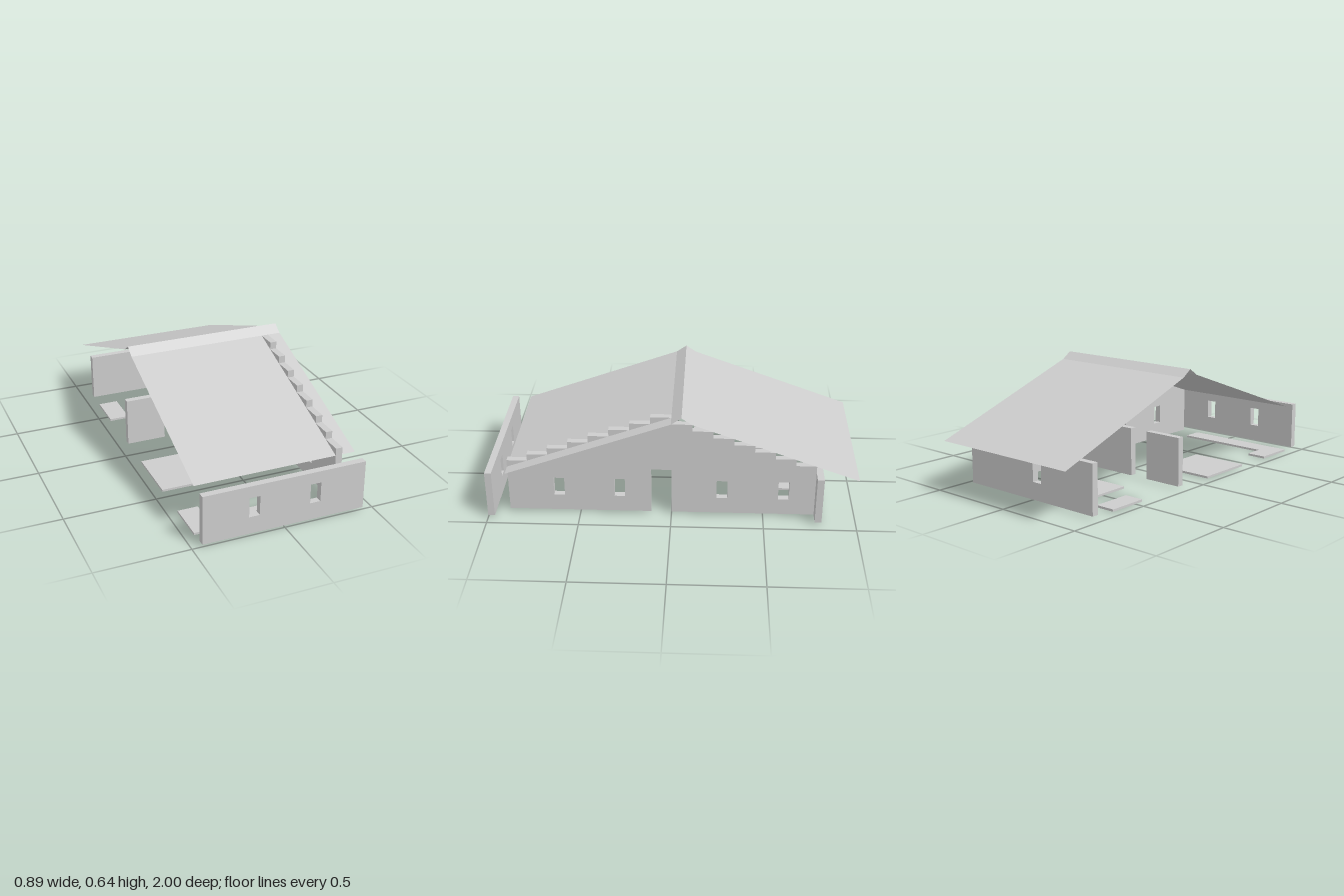
import * as THREE from 'three';

const U = 0.1112;            // planning grid unit
const T = 0.037;             // wall thickness
const FLOOR = 0.012;         // top of slabs, foot of walls
const EAVE = 0.28;           // wall height
const SILL = 0.107, HEAD = 0.215;

export function createModel() {
  const model = new THREE.Group();
  model.name = 'house';
  const grey = new THREE.MeshStandardMaterial({ color: 0xcccccc });
  const greySheet = new THREE.MeshStandardMaterial({ color: 0xcccccc, side: THREE.DoubleSide });
  grey.name = 'plaster grey';
  greySheet.name = 'roof grey';

  const add = (name, geometry, material = grey) => {
    const mesh = new THREE.Mesh(geometry, material);
    mesh.name = name;
    model.add(mesh);
    return mesh;
  };
  const toShape = (pts) => new THREE.Shape(pts.map(([a, b]) => new THREE.Vector2(a, b)));
  const extrude = (shape, depth) => new THREE.ExtrudeGeometry(shape, { depth, bevelEnabled: false });
  const rect = (a0, a1, b0, b1) => [[a0, b0], [a1, b0], [a1, b1], [a0, b1]];
  const cutWindows = (shape, windows) => {
    for (const [a0, a1] of windows) shape.holes.push(toShape(rect(a0, a1, SILL, HEAD)));
    return shape;
  };

  // Walls running along x
  const crossWall = (name, x0, x1, z0, windows = []) => {
    const shape = cutWindows(toShape(rect(x0, x1, FLOOR, EAVE)), windows);
    add(name, extrude(shape, T).translate(0, 0, z0));
  };
  crossWall('frontWall', -4 * U, 4 * U, 1 - T, [[-0.198, -0.14], [0.137, 0.195]]);
  crossWall('backWall', -4 * U, 4 * U, -7 * U - T, [[-0.087, -0.027]]);
  crossWall('partitionLong', -U, 3 * U, -U - T);
  crossWall('partitionShort', -4 * U, -2 * U, -U - T);

  // Stepped gable wall along z, with a doorway open to the ground
  const outline = [[-7 * U, FLOOR], [0, FLOOR], [0, EAVE], [U, EAVE], [U, FLOOR], [8 * U, FLOOR]];
  for (let i = 7; i >= -7; i--) {
    const top = i >= 0 ? 0.6 - 0.04 * i : 0.6 + 0.04 * i;
    outline.push([(i + 1) * U, top], [i * U, top]);
  }
  const gable = cutWindows(toShape(outline),
    [[0.583, 0.642], [0.253, 0.311], [-0.304, -0.245], [-0.638, -0.579]]);
  add('gableWall', extrude(gable, T).rotateY(-Math.PI / 2).translate(3 * U + T, 0, 0));

  // Thin roof sheets and ridge cap, following the profile (z, y)
  const profile = [[8 * U, EAVE], [0, 0.6], [-U / 2, 0.638], [-U, 0.6], [-1, EAVE]];
  const names = ['frontRoof', 'frontRidgeCap', 'backRidgeCap', 'backRoof'];
  names.forEach((name, i) => {
    const [z0, y0] = profile[i], [z1, y1] = profile[i + 1];
    const w = 4 * U;
    const geometry = new THREE.BufferGeometry();
    geometry.setAttribute('position', new THREE.Float32BufferAttribute(
      [-w, y0, z0, w, y0, z0, w, y1, z1, -w, y1, z1], 3));
    geometry.setIndex([0, 1, 2, 0, 2, 3]);
    geometry.computeVertexNormals();
    add(name, geometry, greySheet);
  });

  // Floor slabs, outlined on the plan in grid units (x, z)
  const slab = (name, pts) => {
    const shape = toShape(pts.map(([x, z]) => [x * U, -z * U]));
    add(name, extrude(shape, FLOOR).rotateX(-Math.PI / 2));
  };
  slab('frontFloor', [[-4, 8], [2, 8], [2, 7], [-3, 7], [-3, 6], [-4, 6]]);
  slab('middleFloor', rect(-4, -1, 1, 4));
  slab('backFloor', rect(-2, 1, -6, -3));
  slab('backStep', rect(-4, -3, -6, -4));

  return model;
}
